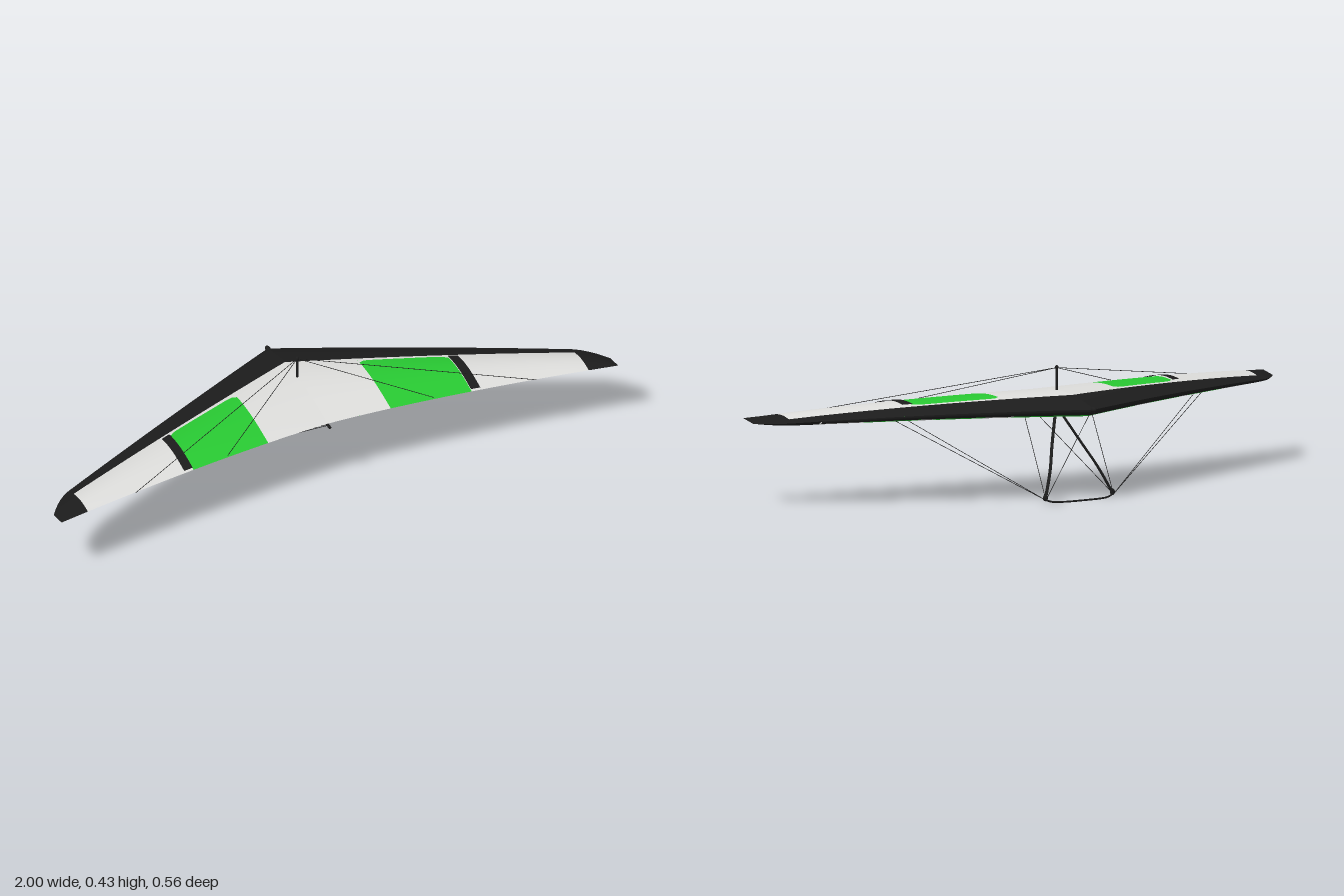
import * as THREE from 'three';

const mat = (name, color, side = THREE.FrontSide) => {
  const m = new THREE.MeshStandardMaterial({ color, side });
  m.name = name;
  return m;
};

// Wing shape: a = 0 at the centre to 1 at the tip, c = 0 at the leading edge to 1 at the trailing edge
const zLead = a => -0.27 + 0.44 * a + 0.05 * Math.max(0, (a - 0.9) / 0.1) ** 2;
const zTrail = a => 0.19 + 0.09 * a ** 1.4;
const bandEdge = a => (-0.14 + 0.333 * a - zLead(a)) / (zTrail(a) - zLead(a));
// Front edge of the green panel, with rounded corners
const greenEdge = a => bandEdge(a) + 0.04 + 0.04 * Math.abs((a - 0.36) / 0.14) ** 14;

function wingPoint(a, c, top) {
  const z = THREE.MathUtils.lerp(zLead(a), zTrail(a), c);
  const base = THREE.MathUtils.lerp(0.31 - 0.028 * a * a, 0.315 - 0.022 * a * a, c);
  const taper = (1 - a) ** 0.6, edge = 0.005 * (1 - a ** 20);
  const y = top
    ? base + (0.03 * taper + edge) * Math.sin(Math.PI * c ** (0.85 + 0.35 * a))
    : base - (0.026 * taper + edge) * Math.sin(Math.PI * c ** 0.45);
  return [a, y, z];
}

// Sweeps the underside panels outward toward the trailing edge
const swept = (s, c) => s + 0.6 * (c - 0.5) * 2 * s * (1 - s);

// A piece of wing skin between two stations and two chord limits
function skin({ a0, a1, c0, c1, top = true, mirror = 1, lift = 0 }) {
  const nA = Math.max(2, Math.ceil((a1 - a0) * 60)), nC = 20;
  const pos = [], idx = [];
  for (let i = 0; i <= nA; i++) {
    const s = a0 + (a1 - a0) * i / nA;
    for (let j = 0; j <= nC; j++) {
      const start = c0(s), c = start + (c1(s) - start) * j / nC;
      const p = wingPoint(top ? s : swept(s, c), c, top);
      pos.push(p[0] * mirror, p[1] + lift, p[2]);
    }
  }
  const flip = top !== (mirror > 0);
  for (let i = 0; i < nA; i++) for (let j = 0; j < nC; j++) {
    const p = i * (nC + 1) + j, q = p + nC + 1;
    if (flip) idx.push(p, q, p + 1, q, q + 1, p + 1);
    else idx.push(p, p + 1, q, q, p + 1, q + 1);
  }
  const g = new THREE.BufferGeometry();
  g.setAttribute('position', new THREE.Float32BufferAttribute(pos, 3));
  g.setIndex(idx);
  g.computeVertexNormals();
  return g;
}

export function createModel() {
  const model = new THREE.Group();
  model.name = 'hangGlider';
  const black = mat('black', 0x1c1c1c, THREE.DoubleSide);
  const grey = mat('lightGrey', 0xdcdcda, THREE.DoubleSide);
  const green = mat('green', 0x28c832, THREE.DoubleSide);

  const add = (name, geometry, material, parent = model) => {
    const m = new THREE.Mesh(geometry, material);
    m.name = name;
    parent.add(m);
    return m;
  };
  const V = p => new THREE.Vector3(...p);
  const rod = (name, from, to, r, parent = model) => {
    const a = V(from), b = V(to), d = b.clone().sub(a);
    const m = add(name, new THREE.CylinderGeometry(r, r, d.length(), 8), black, parent);
    m.position.copy(a).add(b).multiplyScalar(0.5);
    m.quaternion.setFromUnitVectors(new THREE.Vector3(0, 1, 0), d.normalize());
  };
  const ball = (name, p, r, scale) => {
    const m = add(name, new THREE.SphereGeometry(r, 14, 10), black);
    m.position.set(...p);
    m.scale.set(...scale);
  };
  const zero = () => 0, one = () => 1, lip = () => 0.035;

  for (const mirror of [1, -1]) {
    const wing = new THREE.Group();
    wing.name = mirror > 0 ? 'leftWing' : 'rightWing';
    model.add(wing);

    // Upper skin: dark leading band, grey sail and a green panel set just behind the band
    for (const [a0, a1] of [[0, 0.22], [0.22, 0.5], [0.5, 0.9]])
      add('leadingBand', skin({ a0, a1, c0: zero, c1: bandEdge, mirror }), black, wing);
    add('innerSail', skin({ a0: 0, a1: 0.22, c0: bandEdge, c1: one, mirror }), grey, wing);
    add('sailMargin', skin({ a0: 0.22, a1: 0.5, c0: bandEdge, c1: greenEdge, mirror }), grey, wing);
    add('greenPanel', skin({ a0: 0.22, a1: 0.5, c0: greenEdge, c1: one, mirror }), green, wing);
    add('outerSail', skin({ a0: 0.5, a1: 0.9, c0: bandEdge, c1: one, mirror }), grey, wing);
    add('upperTip', skin({ a0: 0.9, a1: 1, c0: zero, c1: one, mirror }), black, wing);
    add('upperStripe', skin({ a0: 0.5, a1: 0.532, c0: a => bandEdge(a) + 0.05, c1: () => 0.98, mirror, lift: 0.004 }), black, wing);

    // Lower skin: green with swept grey stripes
    const lower = [[0, 0.36, green], [0.36, 0.45, grey], [0.45, 0.6, green], [0.6, 0.64, grey],
      [0.64, 0.78, green], [0.78, 0.88, grey]];
    for (const [a0, a1, m] of lower) {
      add('lowerLeadingEdge', skin({ a0, a1, c0: zero, c1: lip, top: false, mirror }), black, wing);
      add('lowerPanel', skin({ a0, a1, c0: lip, c1: one, top: false, mirror }), m, wing);
    }
    add('lowerTip', skin({ a0: 0.88, a1: 1, c0: zero, c1: one, top: false, mirror }), black, wing);

    // Control frame upright, deeper along z than across
    const path = new THREE.CatmullRomCurve3([
      [0, 0.295, -0.042], [0.055, 0.18, -0.104], [0.092, 0.1, -0.15], [0.128, 0.018, -0.18]].map(V));
    const upright = new THREE.TubeGeometry(path, 24, 0.0033, 10);
    const p = upright.attributes.position;
    for (let i = 0; i < p.count; i++) {
      const mid = path.getPointAt(Math.floor(i / 11) / 24);
      p.setZ(i, mid.z + (p.getZ(i) - mid.z) * 2.5);
      p.setX(i, p.getX(i) * mirror);
    }
    if (mirror < 0) upright.setIndex([...upright.index.array].reverse());
    upright.computeVertexNormals();
    add('controlUpright', upright, black, wing);
    ball('frameCorner', [mirror * 0.129, 0.019, -0.18], 0.009, [1, 1.2, 0.7]);

    // Rigging wires
    const mastTop = [0, 0.42, -0.045], corner = [mirror * 0.13, 0.012, -0.185];
    for (const [x, y, z] of [[0.72, 0.304, 0.25], [0.37, 0.317, 0.21]])
      rod('upperWire', mastTop, [mirror * x, y, z], 0.001, wing);
    for (const [x, y, z] of [[0.6, 0.292, 0.01], [0.56, 0.292, -0.005], [0, 0.3, 0.18], [0, 0.305, -0.255]])
      rod('lowerWire', corner, [mirror * x, y, z], 0.001, wing);
  }

  // Bent base bar
  const bar = new THREE.CatmullRomCurve3([[-0.13, 0.013, -0.183], [-0.11, 0.006, -0.187], [-0.08, 0.005, -0.202],
    [0, 0.004, -0.203], [0.08, 0.005, -0.202], [0.11, 0.006, -0.187], [0.13, 0.013, -0.183]].map(V));
  add('baseBar', new THREE.TubeGeometry(bar, 48, 0.003, 8), black);

  // Keel, nose fitting and mast
  rod('keel', [0, 0.305, -0.275], [0, 0.308, 0.205], 0.005);
  ball('noseFitting', [0, 0.31, -0.268], 0.009, [1, 1, 1.6]);
  rod('mast', [0, 0.29, -0.045], [0, 0.42, -0.045], 0.004);
  ball('mastCap', [0, 0.421, -0.045], 0.006, [1, 1.2, 1]);
  return model;
}
